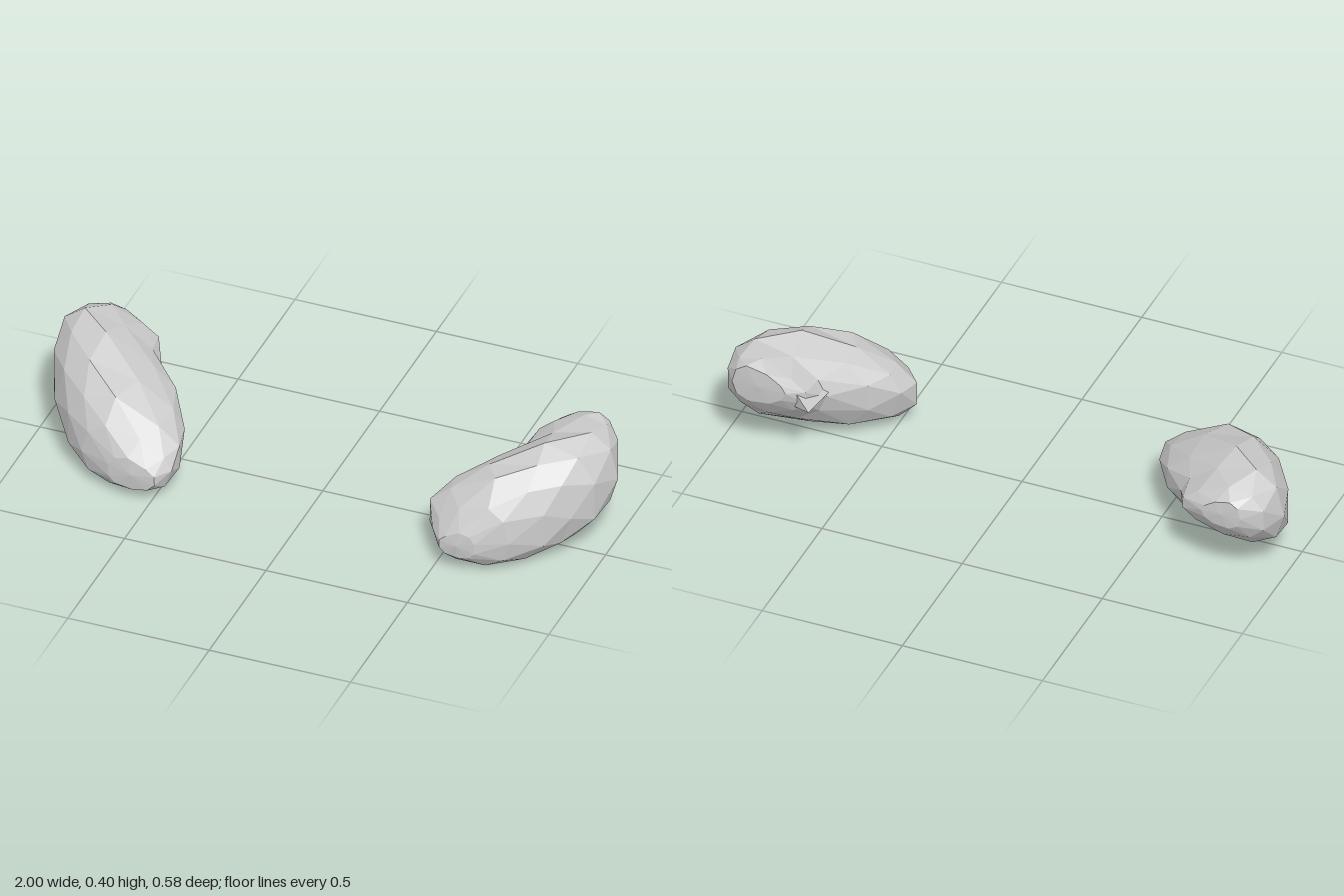
import * as THREE from 'three';
import { ConvexGeometry } from 'three/addons/geometries/ConvexGeometry.js';

const SIDES = 10;

// Faceted stone lofted along z; sections are [z, xMin, xMax, yMin, yMax].
// inner is the x direction (+1 or -1) of the flank that slopes away.
function stoneGeometry(sections, inner) {
  const pos = [], idx = [];
  const pw = (v) => Math.sign(v) * Math.pow(Math.abs(v), 0.82);
  sections.forEach(([z, x0, x1, y0, y1], i) => {
    for (let j = 0; j < SIDES; j++) {
      const a = ((j + (i % 2) * 0.5) / SIDES) * Math.PI * 2;
      const s = pw(Math.sin(a)), c = pw(Math.cos(a));
      const flank = Math.max(0, c * inner);
      // the top leans outwards slightly
      const shift = Math.max(s, 0) * (1 - Math.abs(c)) * inner * -0.07 * (x1 - x0);
      // the inner flank is planed off above, and below towards the back
      const cut = s > 0 ? 0.55 : z < 0 ? 0.35 : 0;
      const mid = y0 + (y1 - y0) * 0.46;
      const reach = s > 0 ? y1 - mid : mid - y0;
      pos.push((x0 + x1) / 2 + c * (x1 - x0) / 2 + shift, mid + s * reach * (1 - cut * flank), z);
    }
  });
  // side facets between staggered rings
  for (let i = 0; i < sections.length - 1; i++) {
    for (let j = 0; j < SIDES; j++) {
      const k = (j + 1) % SIDES;
      const a = i * SIDES + j, b = i * SIDES + k;
      const c = a + SIDES, d = b + SIDES;
      if (i % 2 === 0) idx.push(a, b, c, b, d, c);
      else idx.push(a, d, c, a, b, d);
    }
  }
  // end caps
  [0, sections.length - 1].forEach((i) => {
    const [z, x0, x1, y0, y1] = sections[i];
    const centre = pos.length / 3;
    pos.push((x0 + x1) / 2, (y0 + y1) / 2, z + (i ? 0.007 : -0.005));
    for (let j = 0; j < SIDES; j++) {
      const a = i * SIDES + j, b = i * SIDES + (j + 1) % SIDES;
      if (i) idx.push(a, b, centre);
      else idx.push(b, a, centre);
    }
  });
  const g = new THREE.BufferGeometry();
  g.setAttribute('position', new THREE.Float32BufferAttribute(pos, 3));
  g.setIndex(idx);
  g.computeVertexNormals();
  return g;
}

export function createModel() {
  const group = new THREE.Group();
  const material = new THREE.MeshStandardMaterial({ color: 0xcccccc, flatShading: true });
  const add = (name, geometry) => {
    const mesh = new THREE.Mesh(geometry, material);
    mesh.name = name;
    group.add(mesh);
  };

  add('rightStone', stoneGeometry([
    [-0.285, -0.90, -0.76, 0.24, 0.35],
    [-0.24, -0.97, -0.67, 0.18, 0.375],
    [-0.15, -1.00, -0.63, 0.10, 0.41],
    [-0.05, -0.98, -0.53, 0.04, 0.40],
    [0.07, -0.92, -0.46, 0.005, 0.37],
    [0.17, -0.84, -0.43, 0.0, 0.31],
    [0.235, -0.76, -0.44, 0.01, 0.24],
    [0.28, -0.65, -0.48, 0.04, 0.16],
  ], 1));

  add('leftStone', stoneGeometry([
    [-0.245, 0.74, 0.93, 0.24, 0.385],
    [-0.20, 0.68, 0.97, 0.18, 0.39],
    [-0.11, 0.65, 1.00, 0.09, 0.40],
    [0.00, 0.54, 0.97, 0.03, 0.39],
    [0.08, 0.465, 0.91, 0.01, 0.36],
    [0.15, 0.43, 0.85, 0.0, 0.315],
    [0.23, 0.48, 0.75, 0.015, 0.25],
    [0.28, 0.52, 0.65, 0.06, 0.16],
  ], -1));

  // Thin pointed chip on the inner back flank
  add('stoneChip', new ConvexGeometry([
    new THREE.Vector3(0.66, 0.25, -0.24),
    new THREE.Vector3(0.64, 0.24, -0.03),
    new THREE.Vector3(0.76, 0.34, -0.2),
    new THREE.Vector3(0.76, 0.23, -0.19),
  ]));

  return group;
}
